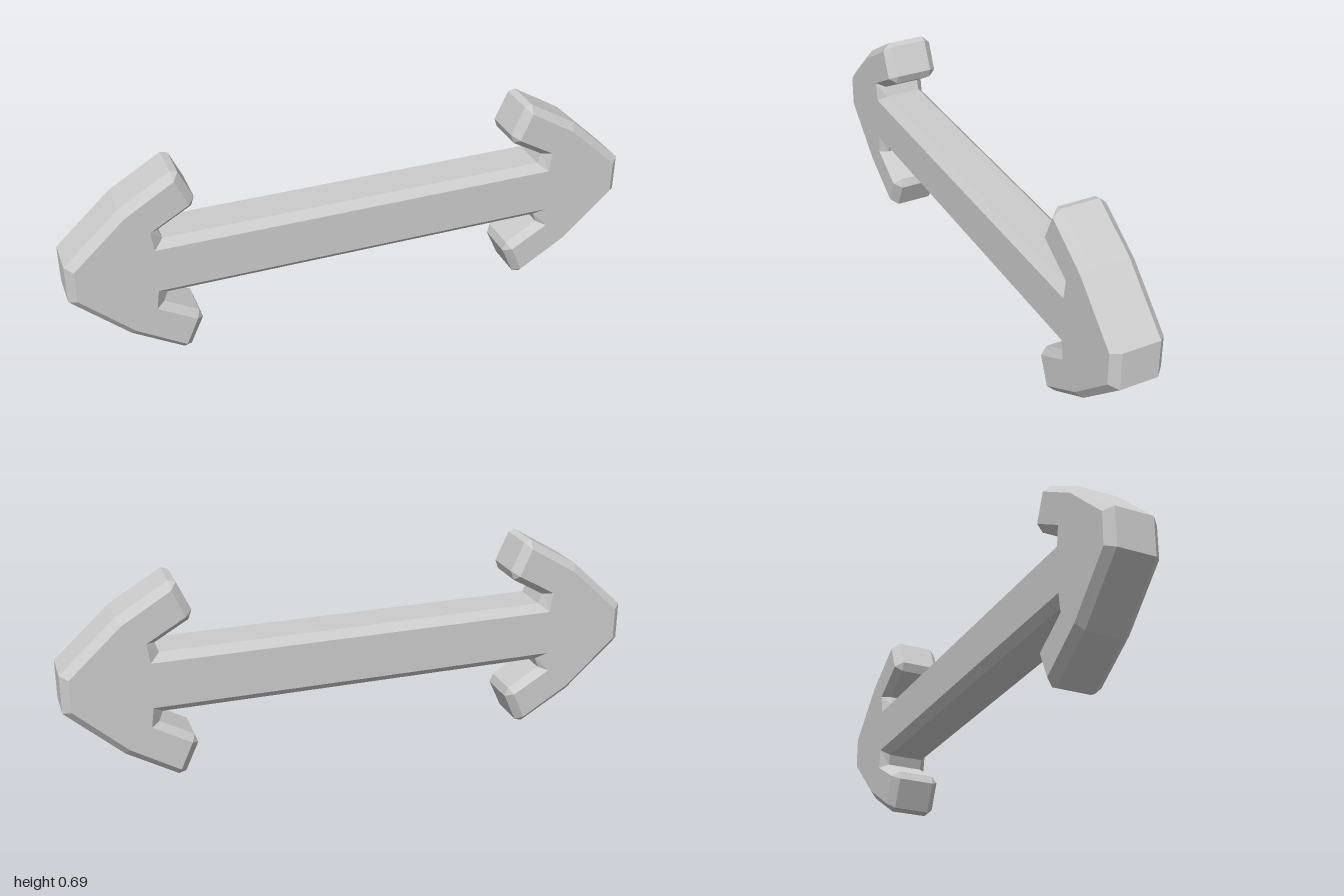
import * as THREE from 'three';

const MID_Y = 0.346;      // height of the long axis
const CAP_Z = 0.092;      // flat front and back faces
const RIM_Z = 0.065;      // where the bevel meets the side wall

// One quarter of the outline, tip to notch: [rim x, rim y, cap x, cap y], y from the long axis.
const QUARTER = [
  [1.0, 0.067, 0.973, 0.056],      // blunt tip
  [0.81, 0.242, 0.797, 0.219],     // shoulder
  [0.635, 0.346, 0.63, 0.32],      // barb end, chamfered corner
  [0.61, 0.339, 0.63, 0.32],
  [0.564, 0.239, 0.588, 0.225],    // barb end, inner chamfered corner
  [0.575, 0.207, 0.588, 0.225],
  [0.69, 0.141, 0.72, 0.149],      // notch
  [0.677, 0.106, 0.71, 0.079],     // shaft start
];

// Mirror the quarter into a closed counter-clockwise outline.
function fullOutline() {
  const flip = (sx, sy) => QUARTER.map(([a, b, c, d]) => [a * sx, b * sy, c * sx, d * sy]);
  return [...flip(1, 1), ...flip(-1, 1).reverse(), ...flip(-1, -1), ...flip(1, -1).reverse()];
}

function bevelledPlate() {
  const outline = fullOutline();
  const n = outline.length;
  const cap = outline.map((p) => new THREE.Vector2(p[2], p[3]));
  const rim = outline.map((p) => new THREE.Vector2(p[0], p[1]));
  const positions = [];
  const tri = (a, b, c) => {
    if (new THREE.Triangle(a, b, c).getArea() > 1e-8) {
      for (const v of [a, b, c]) positions.push(v.x, v.y + MID_Y, v.z);
    }
  };
  const at = (pts, z) => pts.map((p) => new THREE.Vector3(p.x, p.y, z));

  // Rings from back to front: cap, rim, rim, cap
  const rings = [at(cap, -CAP_Z), at(rim, -RIM_Z), at(rim, RIM_Z), at(cap, CAP_Z)];
  for (let r = 0; r < 3; r++) {
    for (let i = 0; i < n; i++) {
      const j = (i + 1) % n;
      const [lo, hi] = [rings[r], rings[r + 1]];
      tri(lo[i], lo[j], hi[j]);
      tri(lo[i], hi[j], hi[i]);
    }
  }

  // Flat faces; the doubled barb corners are merged first
  const flat = cap.filter((p, i) => !p.equals(cap[(i + 1) % n]));
  const [back, front] = [at(flat, -CAP_Z), at(flat, CAP_Z)];
  for (const [a, b, c] of THREE.ShapeUtils.triangulateShape(flat, [])) {
    tri(front[a], front[b], front[c]);
    tri(back[c], back[b], back[a]);
  }

  const geometry = new THREE.BufferGeometry();
  geometry.setAttribute('position', new THREE.Float32BufferAttribute(positions, 3));
  geometry.computeVertexNormals();
  return geometry;
}

export function createModel() {
  const group = new THREE.Group();
  group.name = 'doubleArrow';
  const material = new THREE.MeshStandardMaterial({ color: 0xcccccc, flatShading: true });
  const body = new THREE.Mesh(bevelledPlate(), material);
  body.name = 'doubleHeadedArrow';
  group.add(body);
  return group;
}
